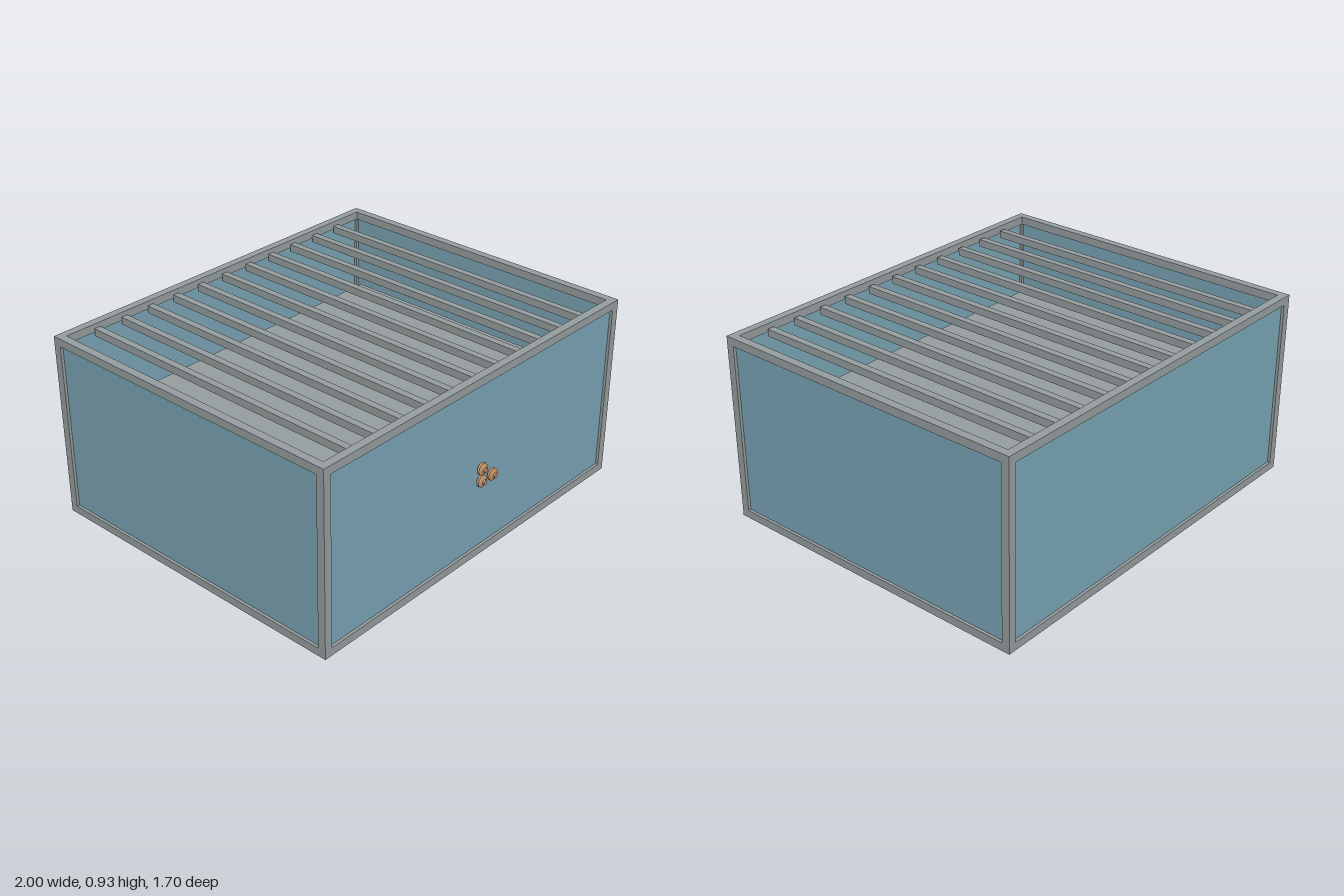
import * as THREE from 'three';

export function createModel() {
  const model = new THREE.Group();
  model.name = 'slattedBox';

  const mat = (name, color) => {
    const m = new THREE.MeshStandardMaterial({ color });
    m.name = name;
    return m;
  };
  const grey = mat('frame grey', 0x989fa1);
  const blue = mat('panel blue', 0x7ba6b7);
  const tan = mat('wood tan', 0xc3976b);

  const X = 1, H = 0.925, Z0 = -0.85, Z1 = 0.79, T = 0.04;
  const zMid = (Z0 + Z1) / 2, depth = Z1 - Z0;

  // Box given by its lower and upper corners
  const box = (name, material, x0, x1, y0, y1, z0, z1, parent = model) => {
    const mesh = new THREE.Mesh(new THREE.BoxGeometry(x1 - x0, y1 - y0, z1 - z0), material);
    mesh.position.set((x0 + x1) / 2, (y0 + y1) / 2, (z0 + z1) / 2);
    mesh.name = name;
    parent.add(mesh);
    return mesh;
  };

  // Frame: four posts, and rails round the top and bottom
  const frame = new THREE.Group();
  frame.name = 'frame';
  model.add(frame);
  for (const s of [-1, 1]) {
    const xa = s < 0 ? -X : X - T;
    for (const z of [Z0, Z1 - T]) {
      box('cornerPost', grey, xa, xa + T, T, H - T, z, z + T, frame);
    }
    for (const y of [0, H - T]) {
      box('sideRail', grey, xa, xa + T, y, y + T, Z0 + T, Z1 - T, frame);
    }
  }
  for (const y of [0, H - T]) {
    for (const z of [Z0, Z1 - T]) {
      box('longRail', grey, -X, X, y, y + T, z, z + T, frame);
    }
  }

  // Wall panels set into the middle of the frame
  const p = 0.006;
  for (const s of [-1, 1]) {
    const x = s * (X - T / 2);
    box('sidePanel', blue, x - p, x + p, T, H - T, Z0 + T, Z1 - T);
    const z = zMid + s * (depth / 2 - T / 2);
    box(s > 0 ? 'frontPanel' : 'backPanel', blue, -X + T, X - T, T, H - T, z - p, z + p);
  }

  // Roof slats
  for (let i = 0; i < 11; i++) {
    const x = -0.79 + i * 0.158;
    box('roofSlat', grey, x - 0.017, x + 0.017, 0.868, 0.905, -0.805, 0.74);
  }

  // Table top with two side boards
  box('tableTop', grey, -0.785, 0.785, 0.61, 0.63, -0.62, 0.56);
  for (const s of [-1, 1]) {
    const x = s * 0.76;
    box('tableSide', tan, x - 0.014, x + 0.014, 0.375, 0.61, -0.62, 0.56);
  }

  // Small round knobs in front of the front panel
  const profile = [
    [0, 0], [0.017, 0], [0.019, 0.008], [0.03, 0.01], [0.03, 0.021],
    [0.018, 0.025], [0.011, 0.028], [0.011, 0.038], [0, 0.038],
  ].map(([r, y]) => new THREE.Vector2(r, y));
  const knobGeometry = new THREE.LatheGeometry(profile, 20).toNonIndexed();
  knobGeometry.computeVertexNormals();
  for (const [x, y] of [[-0.04, 0.497], [-0.04, 0.435], [0.035, 0.435]]) {
    const knob = new THREE.Mesh(knobGeometry, tan);
    knob.rotation.x = Math.PI / 2;
    knob.position.set(x, y, 0.812);
    knob.name = 'knob';
    model.add(knob);
  }

  return model;
}
